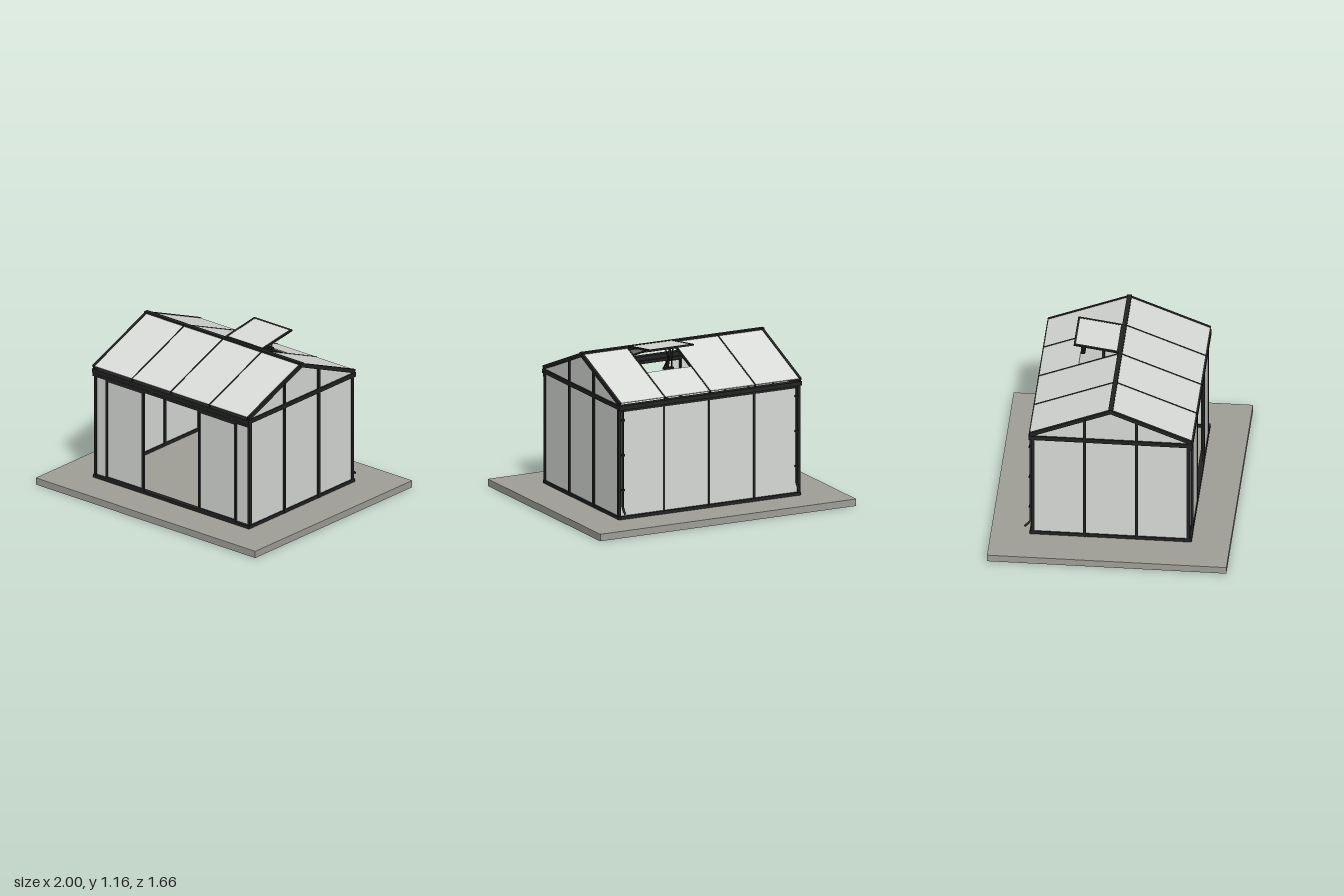
import * as THREE from 'three';

const mat = (name, color) => {
  const m = new THREE.MeshStandardMaterial({ color });
  m.name = name;
  return m;
};

export function createModel() {
  const root = new THREE.Group();
  root.name = 'greenhouse';
  const frame = mat('black frame', 0x222222);
  const glass = mat('pale glass', 0xd8dbd8);
  const stone = mat('grey slab', 0xa0a098);

  const group = (name, parent = root) => {
    const g = new THREE.Group();
    g.name = name;
    parent.add(g);
    return g;
  };
  // Box given by its lower and upper limits on each axis
  const box = (name, m, x0, x1, y0, y1, z0, z1, parent = root) => {
    const b = new THREE.Mesh(new THREE.BoxGeometry(Math.abs(x1 - x0), Math.abs(y1 - y0), Math.abs(z1 - z0)), m);
    b.position.set((x0 + x1) / 2, (y0 + y1) / 2, (z0 + z1) / 2);
    b.name = name;
    parent.add(b);
    return b;
  };
  // Round rod through a list of points
  const rod = (name, r, pts, parent = root) => {
    const path = new THREE.CurvePath();
    for (let i = 1; i < pts.length; i++)
      path.add(new THREE.LineCurve3(new THREE.Vector3(...pts[i - 1]), new THREE.Vector3(...pts[i])));
    const t = new THREE.Mesh(new THREE.TubeGeometry(path, 24, r, 8), frame);
    t.name = name;
    parent.add(t);
  };

  const W = 0.7, D = 0.545, BASE = 0.05, EAVE = 0.87, RIDGE = 1.112;
  const BAY = [-0.353, 0, 0.353];
  const ANGLE = Math.atan2(0.225, 0.565), SLOPE = 0.606;

  box('slab', stone, -1, 1, 0, BASE, -0.83, 0.83);

  // Corner posts, sill rails and eave beams
  const body = group('wallFrame');
  for (const sx of [-1, 1]) {
    for (const sz of [-1, 1])
      box('cornerPost', frame, sx * 0.69, sx * 0.71, BASE, EAVE, sz * 0.528, sz * 0.552, body);
    box('sideSill', frame, sx * 0.69, sx * 0.712, BASE, 0.074, -D, D, body);
    box('sideBeam', frame, sx * 0.685, sx * 0.714, 0.836, 0.867, -0.555, 0.555, body);
  }
  for (const sz of [-1, 1]) {
    box('longSill', frame, -0.712, 0.712, BASE, 0.072, sz * 0.525, sz * 0.562, body);
    box('gutter', frame, -0.714, 0.714, 0.835, 0.865, sz * 0.53, sz * 0.57, body);
  }

  // Back wall
  const back = group('backWall');
  box('backGlass', glass, -W, W, 0.06, 0.85, -0.543, -0.537, back);
  for (const x of BAY) box('backPost', frame, x - 0.007, x + 0.007, BASE, 0.85, -0.55, -0.53, back);
  box('backTopRail', frame, -W, W, 0.815, 0.84, -0.548, -0.53, back);

  // Gable walls: pentagon of glass, posts and rafters
  const pentagon = new THREE.Shape([
    [-D, 0.06], [D, 0.06], [D, 0.88], [0, 1.095], [-D, 0.88],
  ].map(([z, y]) => new THREE.Vector2(z, y)));
  for (const sx of [-1, 1]) {
    const gable = group('gableWall');
    const pane = new THREE.Mesh(new THREE.ExtrudeGeometry(pentagon, { depth: 0.006, bevelEnabled: false }), glass);
    pane.name = 'gableGlass';
    pane.rotation.y = -Math.PI / 2;
    pane.position.x = sx * 0.7 + 0.003;
    gable.add(pane);
    for (const z of [-0.18, 0.18])
      box('gablePost', frame, sx * 0.69, sx * 0.714, BASE, 1.025, z - 0.01, z + 0.01, gable);
  }

  // Front wall: fixed side panes with open sliding doors in front
  box('doorHead', frame, -0.71, 0.71, 0.81, 0.831, 0.53, 0.565);
  for (const sx of [-1, 1]) {
    const front = group('frontPanel');
    box('fixedGlass', glass, sx * 0.353, sx * W, 0.06, 0.85, 0.535, 0.541, front);
    box('frontPost', frame, sx * 0.346, sx * 0.36, BASE, 0.85, 0.53, 0.546, front);
    const door = group('slidingDoor');
    box('doorGlass', glass, sx * 0.255, sx * 0.585, 0.08, 0.81, 0.552, 0.557, door);
    for (const x of [0.257, 0.584])
      box('doorStile', frame, sx * (x - 0.008), sx * (x + 0.008), 0.07, 0.815, 0.548, 0.564, door);
    for (const y of [0.08, 0.808])
      box('doorRail', frame, sx * 0.25, sx * 0.592, y - 0.009, y + 0.007, 0.548, 0.564, door);
  }

  // Roof slopes; the back slope leaves an opening under the vent
  for (const s of [-1, 1]) {
    const slope = group(s > 0 ? 'frontRoof' : 'backRoof');
    slope.position.y = RIDGE;
    slope.rotation.x = s * ANGLE;
    const edges = [-W, ...BAY, W];
    for (let i = 0; i < 4; i++) {
      const start = s < 0 && i === 2 ? 0.31 : 0.005;
      box('roofGlass', glass, edges[i], edges[i + 1], -0.008, -0.002, s * start, s * SLOPE, slope);
    }
    for (const x of BAY) box('glazingBar', frame, x - 0.005, x + 0.005, -0.018, 0.001, 0, s * 0.61, slope);
    for (const x of [-0.704, 0.704])
      box('rafter', frame, x - 0.009, x + 0.009, -0.026, 0.002, 0, s * 0.609, slope);
  }
  box('ridge', frame, -0.714, 0.714, 1.088, 1.116, -0.016, 0.016);

  // Raised roof vent, hinged at the ridge
  const vent = group('roofVent');
  vent.position.set(0.173, RIDGE, -0.005);
  vent.rotation.x = 0.145;
  box('ventGlass', glass, -0.165, 0.165, -0.001, 0.004, -0.31, -0.01, vent);
  for (const x of [-0.165, 0.165]) box('ventSide', frame, x - 0.008, x + 0.008, -0.006, 0.006, -0.32, 0, vent);
  for (const z of [-0.313, -0.012]) box('ventEnd', frame, -0.173, 0.173, -0.006, 0.006, z - 0.007, z + 0.007, vent);

  // Vent opener
  const opener = group('ventOpener');
  rod('openerPiston', 0.009, [[0.173, 1.0, -0.26], [0.173, 1.15, -0.295]], opener);
  for (const s of [-1, 1]) {
    rod('openerArm', 0.005, [[0.173 + s * 0.03, 1.01, -0.265], [0.173 + s * 0.012, 1.08, -0.3], [0.173 + s * 0.03, 1.145, -0.285]], opener);
  }
  box('openerFoot', frame, 0.135, 0.211, 0.995, 1.007, -0.285, -0.255, opener);

  // Downpipes with brackets at the back corners
  for (const sx of [-1, 1]) {
    const pipe = group('downpipe');
    const x = sx * 0.68;
    rod('pipe', 0.008, [[x, 0.84, -0.558], [x, 0.13, -0.558], [x, 0.092, -0.598]], pipe);
    for (const y of [0.26, 0.51, 0.76])
      box('bracket', frame, x - 0.012, x + 0.012, y - 0.006, y + 0.006, -0.569, -0.545, pipe);
  }
  return root;
}
